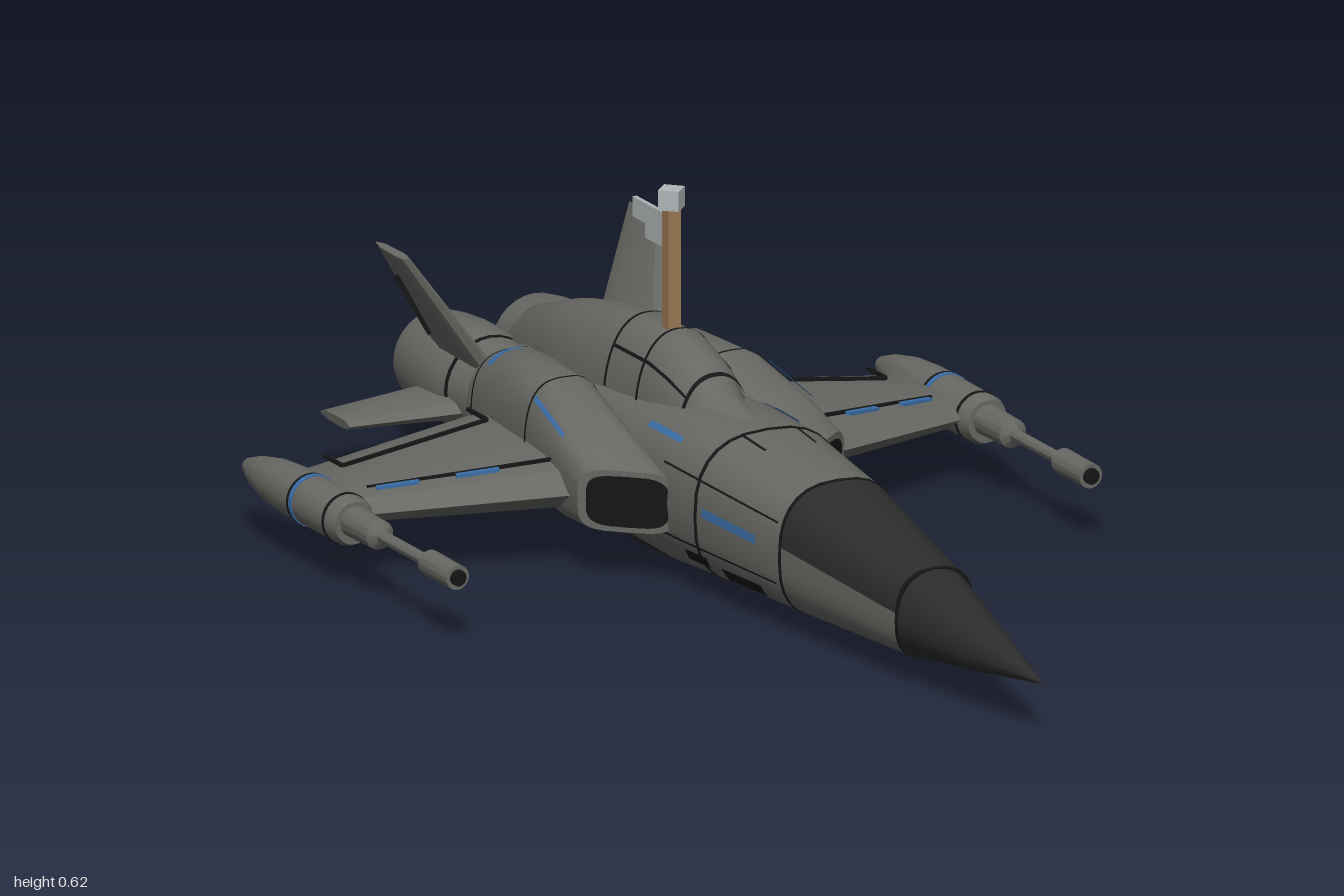
import * as THREE from 'three';
import { toCreasedNormals } from 'three/addons/utils/BufferGeometryUtils.js';

const mat = (name, color, side = THREE.FrontSide) => {
  const m = new THREE.MeshStandardMaterial({ color, side });
  m.name = name;
  return m;
};

// Skin through equal-length rings of points, with optional end caps
function loft(rings, closed = true, crease = 0.6) {
  const n = rings[0].length, pos = rings.flat(2), idx = [];
  for (let i = 0; i < rings.length - 1; i++)
    for (let j = 0; j < (closed ? n : n - 1); j++) {
      const a = i * n + j, b = i * n + (j + 1) % n;
      idx.push(a, a + n, b, b, a + n, b + n);
    }
  if (closed) [0, rings.length - 1].forEach((r, end) => {
    const c = pos.length / 3;
    pos.push(...[0, 1, 2].map(k => rings[r].reduce((s, p) => s + p[k], 0) / n));
    for (let j = 0; j < n; j++) {
      const a = r * n + j, b = r * n + (j + 1) % n;
      idx.push(c, ...(end ? [b, a] : [a, b]));
    }
  });
  const g = new THREE.BufferGeometry();
  g.setAttribute('position', new THREE.Float32BufferAttribute(pos, 3));
  g.setIndex(idx);
  return toCreasedNormals(g, crease);
}

// Rounded cross-section of a station [z, centre x, half width, bottom, middle, top]
function ring([z, cx, hw, yb, yc, yt], o = {}) {
  const { n = 2.6, grow = 0, skew = 0, a0 = 0, a1 = Math.PI * 2, seg = 28 } = o;
  const full = a1 - a0 > 6.28, pts = [];
  for (let i = 0; i < (full ? seg : seg + 1); i++) {
    const a = a0 + (a1 - a0) * i / seg, c = Math.cos(a), s = Math.sin(a);
    const dx = (hw + grow) * Math.sign(c) * Math.abs(c) ** (2 / n);
    const h = (s > 0 ? yt - yc : yc - yb) + grow;
    pts.push([cx + dx, yc + h * Math.sign(s) * Math.abs(s) ** (2 / n), z - skew * dx]);
  }
  return pts;
}

// Station interpolated from a table at a given z
function at(table, z) {
  let i = 0;
  while (i < table.length - 2 && z < table[i + 1][0]) i++;
  const p = table[i], q = table[i + 1], t = (p[0] - z) / (p[0] - q[0]);
  return p.map((v, k) => v + (q[k] - v) * t);
}

// Thin skin that follows a table of stations
function patch(table, z0, z1, a0, a1, n = 2.6, grow = 0.003) {
  const rings = [];
  for (let i = 0; i <= 4; i++) rings.push(ring(at(table, z0 + (z1 - z0) * i / 4), { a0, a1, n, grow }));
  return loft(rings, a1 - a0 > 6.28);
}

// Flying surface between two sections {x, y, front, back, t}
function blade(root, tip) {
  const d = new THREE.Vector2(tip.x - root.x, tip.y - root.y).normalize();
  return loft([root, tip].map(s => [[0, 0], [0.1, 0.8], [0.25, 1], [0.8, 0.85], [1, 0.15], [1, -0.15], [0.8, -0.85], [0.25, -1], [0.1, -0.8]]
    .map(([c, h]) => [s.x - d.y * h * s.t / 2, s.y + d.x * h * s.t / 2, s.front + (s.back - s.front) * c])), true, 0.4);
}

// Turned part running aft along z from a starting point
const turned = (profile, x, y, z) => toCreasedNormals(
  new THREE.LatheGeometry(profile.map(p => new THREE.Vector2(...p)), 28).rotateX(-Math.PI / 2).translate(x, y, z), 0.6);

// Thin bar between two points
function strip(a, b, w = 0.006, h = 0.006) {
  const p = new THREE.Vector3(...a), q = new THREE.Vector3(...b);
  const o = new THREE.Object3D();
  o.position.copy(p).add(q).multiplyScalar(0.5);
  o.lookAt(q);
  o.updateMatrix();
  return new THREE.BoxGeometry(w, h, p.distanceTo(q)).toNonIndexed().applyMatrix4(o.matrix);
}

// Mirrored copy across x with corrected winding
function mirror(geo) {
  const g = geo.index ? geo.toNonIndexed() : geo.clone();
  for (const key of ['position', 'normal']) {
    const a = g.attributes[key].array;
    for (let i = 0; i < a.length; i += 3) a[i] *= -1;
    for (let i = 0; i < a.length; i += 9)
      for (let k = 3; k < 6; k++) [a[i + k], a[i + k + 3]] = [a[i + k + 3], a[i + k]];
  }
  return g;
}

export function createModel() {
  const hull = mat('hull grey', 0x676763), dark = mat('nose black', 0x2c2c2c);
  const line = mat('panel line black', 0x161616, THREE.DoubleSide);
  const blue = mat('marking blue', 0x3a6ea8, THREE.DoubleSide);
  const wood = mat('pole brown', 0x9c7a55), pale = mat('flag grey', 0xb2b6b8);
  const model = new THREE.Group();
  const add = (name, geo, m) => {
    const mesh = new THREE.Mesh(geo, m);
    mesh.name = name;
    model.add(mesh);
  };
  const pair = (name, geo, m) => {
    add(name + 'Left', geo, m);
    add(name + 'Right', mirror(geo), m);
  };
  const PI = Math.PI, TAU = PI * 2;

  // Fuselage, nose cone and the dark shroud over the forward half
  const body = [
    [1, 0, 0.002, 0.098, 0.1, 0.102], [0.8, 0, 0.043, 0.066, 0.105, 0.154], [0.62, 0, 0.074, 0.042, 0.115, 0.2],
    [0.27, 0, 0.115, 0.025, 0.14, 0.265], [0, 0, 0.143, 0.016, 0.15, 0.288], [-0.15, 0, 0.145, 0.004, 0.15, 0.29],
    [-0.4, 0, 0.13, 0.003, 0.15, 0.275], [-0.62, 0, 0.13, 0.005, 0.15, 0.27], [-0.74, 0, 0.12, 0.05, 0.15, 0.25],
    [-0.87, 0, 0.05, 0.09, 0.15, 0.22]];
  add('noseCone', loft(body.slice(0, 3).map(s => ring(s, { n: 2.2 }))), dark);
  add('forwardTop', patch(body, 0.62, 0.27, 0.1, PI - 0.1, 2.6, 0), dark);
  add('forwardBelly', patch(body, 0.62, 0.27, PI - 0.1, TAU + 0.1, 2.6, 0), hull);
  add('fuselage', loft(body.slice(3).map(s => ring(s))), hull);
  for (const z of [0.62, 0.275, 0.02]) add('hullSeam', patch(body, z, z - 0.006, 0, TAU, 2.6, 0.002), line);

  // Canopy and dorsal spine
  const spine = [
    [0.0, 0, 0.035, 0.2, 0.21, 0.28], [-0.14, 0, 0.06, 0.2, 0.21, 0.305], [-0.2, 0, 0.075, 0.2, 0.21, 0.35],
    [-0.28, 0, 0.083, 0.2, 0.21, 0.378], [-0.42, 0, 0.085, 0.2, 0.21, 0.378], [-0.52, 0, 0.095, 0.2, 0.21, 0.368],
    [-0.66, 0, 0.078, 0.18, 0.21, 0.338], [-0.8, 0, 0.058, 0.16, 0.2, 0.29], [-0.89, 0, 0.035, 0.15, 0.18, 0.22]];
  add('canopySpine', loft(spine.map(s => ring(s, { n: 2.3 }))), hull);
  for (const z of [-0.17, -0.3, -0.41])
    add('canopyFrame', patch(spine, z, z - 0.007, 0.25, PI - 0.25, 2.3), line);
  pair('canopyRail', patch(spine, -0.17, -0.41, 0.72, 0.77, 2.3), line);

  // Markings, seams and scuffs on the hull sides
  pair('sideStripe', patch(body, 0.2, 0.04, 0.02, 0.1), blue);
  pair('upperStripe', patch(body, -0.08, -0.2, 0.72, 0.82), blue);
  pair('sideSeam', patch(body, 0.26, -0.1, 0.38, 0.41), line);
  pair('lowerSeam', patch(body, 0.26, -0.1, -0.32, -0.29), line);
  pair('deckSeam', patch(body, 0.1, 0.02, 1.28, 1.32), line);
  pair('sideScuffLarge', patch(body, 0.2, 0.08, -0.75, -0.5), line);
  pair('sideScuffSmall', patch(body, 0.04, -0.03, -0.6, -0.42), line);

  // Intakes with slanted mouths and nacelles
  const nacelle = [
    [-0.13, 0.195, 0.065, 0.09, 0.145, 0.2], [-0.25, 0.185, 0.07, 0.08, 0.15, 0.24], [-0.4, 0.165, 0.075, 0.075, 0.15, 0.285],
    [-0.56, 0.15, 0.076, 0.07, 0.15, 0.288], [-0.7, 0.115, 0.085, 0.065, 0.15, 0.255]];
  pair('nacelle', loft(nacelle.map((s, i) => ring(s, { n: [4, 3.6, 3, 2.6, 2.4][i], skew: [0.9, 0.4, 0, 0, 0][i] }))), hull);
  const mouth = [-0.126, 0.195, 0.054, 0.1, 0.145, 0.19];
  pair('intakeMouth', loft([mouth, [-0.132, ...mouth.slice(1)]].map(s => ring(s, { n: 4, skew: 0.9 }))), line);
  for (const z of [-0.41, -0.66]) pair('nacelleSeam', patch(nacelle, z, z - 0.006, 0, PI, 2.9), line);
  pair('nacelleStripe', patch(nacelle, -0.62, -0.645, 0.9, 1.6, 2.5, 0.006), blue);
  pair('shoulderStripe', patch(nacelle, -0.27, -0.4, 0.75, 0.87, 3, 0.006), blue);

  // Engines with hollow nozzles
  pair('engine', turned([[0, 0], [0.07, 0], [0.083, 0.06], [0.086, 0.2], [0.093, 0.22], [0.095, 0.3], [0.09, 0.36],
    [0.083, 0.4], [0.07, 0.4], [0.066, 0.33]], 0.096, 0.157, -0.6), hull);
  pair('nozzleInside', turned([[0.071, 0.398], [0.062, 0.32], [0.03, 0.31], [0.026, 0.34], [0, 0.34]], 0.096, 0.157, -0.6), dark);
  pair('engineSeam', turned([[0.08, 0], [0.0885, 0], [0.0885, 0.008], [0.08, 0.008]], 0.096, 0.157, -0.8), line);

  // Main wings with panel lines and markings
  pair('wing', blade({ x: 0.16, y: 0.148, front: -0.18, back: -0.69, t: 0.092 }, { x: 0.59, y: 0.118, front: -0.355, back: -0.615, t: 0.05 }), hull);
  const top = (x, z) => [x, 0.19 - (x - 0.2) * 0.122, z];
  const bottom = (x, z) => [x, 0.102 - (x - 0.2) * 0.02, z];
  for (const [x0, z0, x1, z1] of [[0.24, -0.55, 0.53, -0.535], [0.53, -0.535, 0.53, -0.6], [0.24, -0.55, 0.24, -0.62], [0.25, -0.3, 0.55, -0.41]]) {
    pair('wingLine', strip(top(x0, z0), top(x1, z1)), line);
    pair('wingUnderLine', strip(bottom(x0, z0), bottom(x1, z1)), line);
  }
  pair('wingMarkInner', strip(top(0.34, -0.322), top(0.41, -0.348), 0.012), blue);
  pair('wingMarkOuter', strip(top(0.47, -0.37), top(0.54, -0.396), 0.012), blue);

  // Wingtip pods with cannons
  pair('tipPod', turned([[0, 0.37], [0.038, 0.37], [0.044, 0.385], [0.045, 0.58], [0.04, 0.65], [0.028, 0.71], [0.014, 0.75], [0, 0.76]], 0.617, 0.115, 0.04), hull);
  pair('cannon', turned([[0, 0.01], [0.013, 0.01], [0.015, 0], [0.022, 0], [0.023, 0.1], [0.011, 0.11], [0.011, 0.27],
    [0.026, 0.28], [0.028, 0.375]], 0.617, 0.118, 0.04), hull);
  pair('podBand', turned([[0.04, 0], [0.0465, 0], [0.0465, 0.01], [0.04, 0.01]], 0.617, 0.115, -0.475), blue);
  for (const z of [-0.36, -0.487]) pair('podSeam', turned([[0.04, 0], [0.046, 0], [0.046, 0.006], [0.04, 0.006]], 0.617, 0.115, z), line);
  pair('muzzleBore', turned([[0, 0], [0.014, 0], [0.014, 0.008]], 0.617, 0.118, 0.046), line);

  // Canted tail fins and low stabilisers
  pair('tailFin', blade({ x: 0.165, y: 0.23, front: -0.66, back: -0.885, t: 0.026 }, { x: 0.247, y: 0.4, front: -0.82, back: -0.935, t: 0.014 }), hull);
  pair('tailFinLine', strip([0.187, 0.25, -0.85], [0.236, 0.352, -0.885], 0.006, 0.01), line);
  pair('stabiliser', blade({ x: 0.15, y: 0.135, front: -0.74, back: -0.92, t: 0.04 }, { x: 0.345, y: 0.105, front: -0.85, back: -0.955, t: 0.018 }), hull);

  // Belly bay with framed panels
  const slab = (w, h, d, x, y, z) => new THREE.BoxGeometry(w, h, d).translate(x, y, z);
  add('bayFrame', slab(0.13, 0.005, 0.32, 0, 0.0035, -0.38), line);
  pair('bayDoor', slab(0.052, 0.005, 0.13, 0.031, 0.0025, -0.3), hull);
  pair('bayDoorRear', slab(0.052, 0.005, 0.13, 0.031, 0.0025, -0.45), hull);

  // Pole with a cube finial and a small stepped flag
  add('pole', slab(0.024, 0.25, 0.024, 0, 0.475, -0.33), wood);
  add('finial', new THREE.BoxGeometry(0.037, 0.036, 0.037).rotateY(PI / 4).translate(0, 0.607, -0.33), pale);
  add('flagUpper', slab(0.008, 0.036, 0.12, 0, 0.557, -0.402), pale);
  add('flagLower', slab(0.008, 0.026, 0.075, 0, 0.526, -0.38), pale);
  return model;
}
